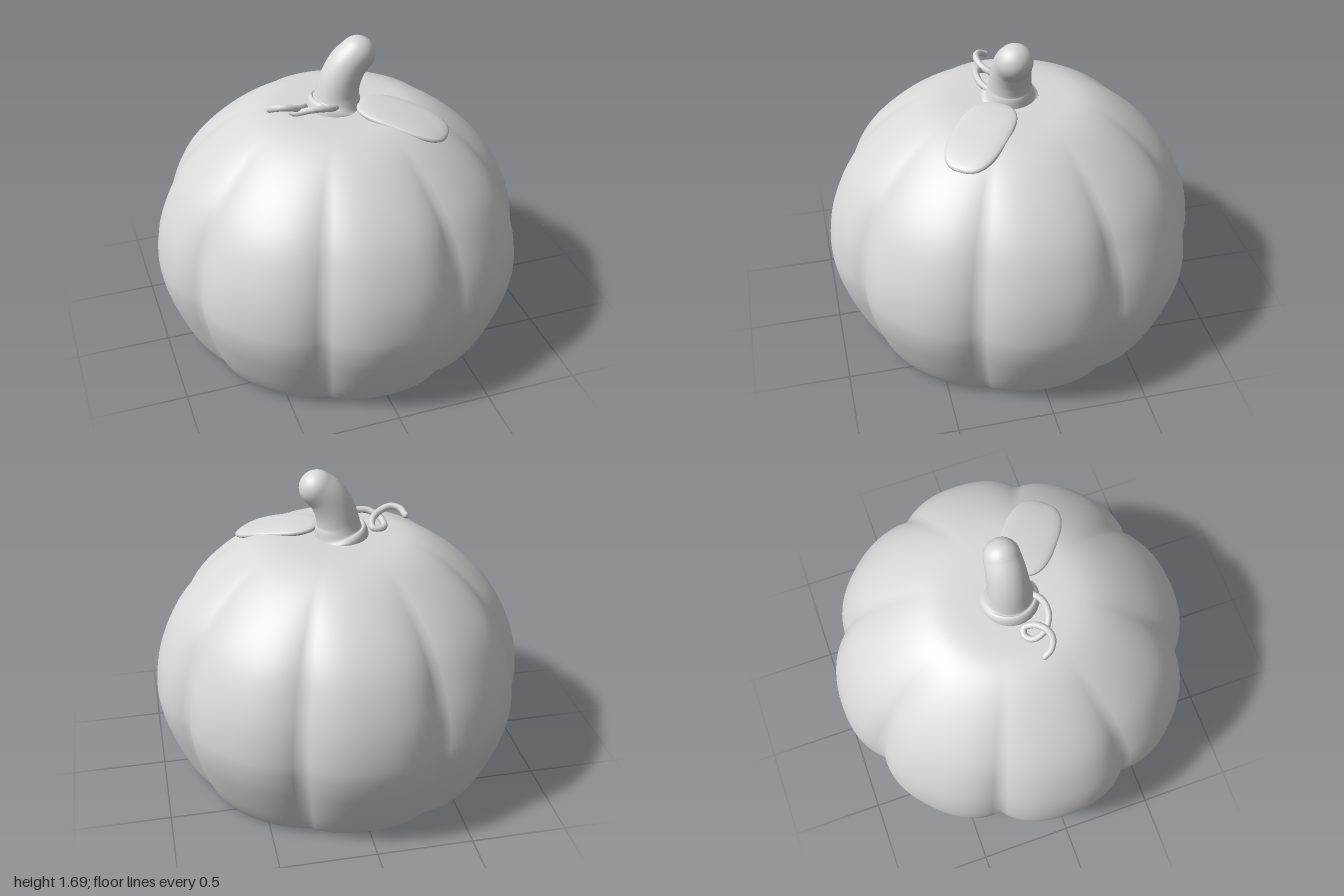
import * as THREE from 'three';
import { mergeVertices } from 'three/addons/utils/BufferGeometryUtils.js';

const LOBES = 8;
const SEGMENTS_PER_LOBE = 18;

// Drop seams so that normals run smoothly all round
function smooth(geometry) {
  geometry.deleteAttribute('uv');
  geometry.deleteAttribute('normal');
  const merged = mergeVertices(geometry, 1e-4);
  merged.computeVertexNormals();
  return merged;
}

// Hollow ribbed shell: profile entries are [radius, y, crease depth]
function createShell() {
  const profile = [
    // smooth inner wall, from the roof down to the opening
    [0, 1.205, 0], [0.3, 1.185, 0], [0.52, 1.095, 0.002], [0.72, 0.945, 0.006], [0.85, 0.71, 0.01],
    [0.892, 0.48, 0.01], [0.853, 0.25, 0.01], [0.778, 0.1, 0.01],
    // rounded lip
    [0.737, 0.03, 0.01], [0.747, 0.008, 0.015], [0.785, 0.001, 0.025], [0.829, 0.01, 0.035],
    // outer wall, from the lip up to the crown
    [0.857, 0.045, 0.045], [0.907, 0.145, 0.057], [0.966, 0.305, 0.067], [0.99, 0.4, 0.07], [1, 0.5, 0.07],
    [0.979, 0.67, 0.07], [0.928, 0.82, 0.068], [0.853, 0.96, 0.06], [0.743, 1.087, 0.048],
    [0.605, 1.203, 0.03], [0.485, 1.276, 0.016], [0.375, 1.314, 0.006], [0.22, 1.324, 0], [0, 1.32, 0],
  ];
  const curve = new THREE.CatmullRomCurve3(profile.map((p) => new THREE.Vector3(...p)), false, 'centripetal');
  const rings = curve.getPoints(100);
  const points = rings.map((p) => new THREE.Vector2(Math.max(p.x, 0), p.y));
  const geometry = new THREE.LatheGeometry(points, LOBES * SEGMENTS_PER_LOBE);
  const position = geometry.attributes.position;
  const step = (Math.PI * 2) / LOBES;
  for (let i = 0; i < position.count; i++) {
    const x = position.getX(i);
    const z = position.getZ(i);
    const turn = Math.atan2(x, z) / step;
    const t = Math.abs(turn - Math.round(turn)) * 2; // 0 on a lobe, 1 in a crease
    const scale = 1 - Math.max(rings[i % rings.length].z, 0) * t ** 3;
    position.setX(i, x * scale);
    position.setZ(i, z * scale);
  }
  return smooth(geometry);
}

// Stem: circular sections swept along a bent centre line, with a domed tip
function createStem() {
  const sections = [ // x, y, radius
    [-0.01, 1.295, 0.154], [-0.01, 1.33, 0.15], [-0.004, 1.355, 0.126], [0, 1.4, 0.113],
    [0.018, 1.47, 0.107], [0.056, 1.543, 0.101], [0.108, 1.594, 0.094],
  ];
  const path = new THREE.CatmullRomCurve3(sections.map(([x, y]) => new THREE.Vector3(x, y, 0)));
  const radii = new THREE.CatmullRomCurve3(sections.map(([, , r]) => new THREE.Vector3(r, 0, 0)));
  const rows = 30;
  const capRows = 10;
  const geometry = new THREE.CylinderGeometry(1, 1, 1, 32, rows + capRows, true);
  const position = geometry.attributes.position;
  for (let i = 0; i < position.count; i++) {
    const row = Math.round((position.getY(i) + 0.5) * (rows + capRows));
    const t = Math.min(row / rows, 1);
    const centre = path.getPoint(t);
    const tangent = path.getTangent(t);
    let radius = radii.getPoint(t).x;
    if (row > rows) {
      const angle = ((row - rows) / capRows) * Math.PI / 2;
      centre.addScaledVector(tangent, radius * Math.sin(angle));
      radius *= Math.cos(angle);
    }
    const side = position.getX(i) * radius;
    const depth = position.getZ(i) * radius;
    position.setXYZ(i, centre.x + tangent.y * side, centre.y - tangent.x * side, depth);
  }
  return smooth(geometry);
}

// Leaf: thick blunt oval pad drooping along its length
function createLeaf() {
  const geometry = new THREE.SphereGeometry(1, 48, 24);
  const position = geometry.attributes.position;
  const angle = 0.65;
  const blunt = (v, power) => Math.sign(v) * Math.abs(v) ** power;
  for (let i = 0; i < position.count; i++) {
    const along = blunt(position.getX(i), 0.75) * 0.24;
    const across = blunt(position.getZ(i), 0.75) * 0.147;
    const y = 1.306 + blunt(position.getY(i), 0.75) * 0.028 - 0.23 * along - 0.28 * along * along;
    position.setXYZ(
      i,
      0.285 + along * Math.cos(angle) - across * Math.sin(angle),
      y,
      0.213 + along * Math.sin(angle) + across * Math.cos(angle),
    );
  }
  return smooth(geometry);
}

export function createModel() {
  const model = new THREE.Group();
  model.name = 'pumpkin';
  const clay = new THREE.MeshStandardMaterial({ color: 0xd8d8d8 });
  clay.name = 'plain grey';

  const add = (name, geometry, parent = model) => {
    const mesh = new THREE.Mesh(geometry, clay);
    mesh.name = name;
    parent.add(mesh);
    return mesh;
  };

  add('ribbedShell', createShell());
  add('stem', createStem());
  add('leaf', createLeaf());

  // Curly tendril with rounded ends
  const tendril = new THREE.Group();
  tendril.name = 'tendril';
  model.add(tendril);
  const path = new THREE.CatmullRomCurve3([
    [-0.378, 1.378, 0.05], [-0.358, 1.4, 0.09], [-0.31, 1.408, 0.115], [-0.25, 1.39, 0.105],
    [-0.2, 1.365, 0.06], [-0.19, 1.34, 0.01], [-0.225, 1.332, 0], [-0.258, 1.335, 0.03],
    [-0.25, 1.355, 0.09], [-0.2, 1.383, 0.135], [-0.14, 1.388, 0.147], [-0.08, 1.375, 0.135],
    [-0.045, 1.362, 0.11],
  ].map((p) => new THREE.Vector3(...p)));
  add('tendrilCurl', new THREE.TubeGeometry(path, 90, 0.018, 10), tendril);
  for (const t of [0, 1]) {
    add('tendrilTip', new THREE.SphereGeometry(0.018, 12, 8), tendril).position.copy(path.getPoint(t));
  }
  return model;
}
